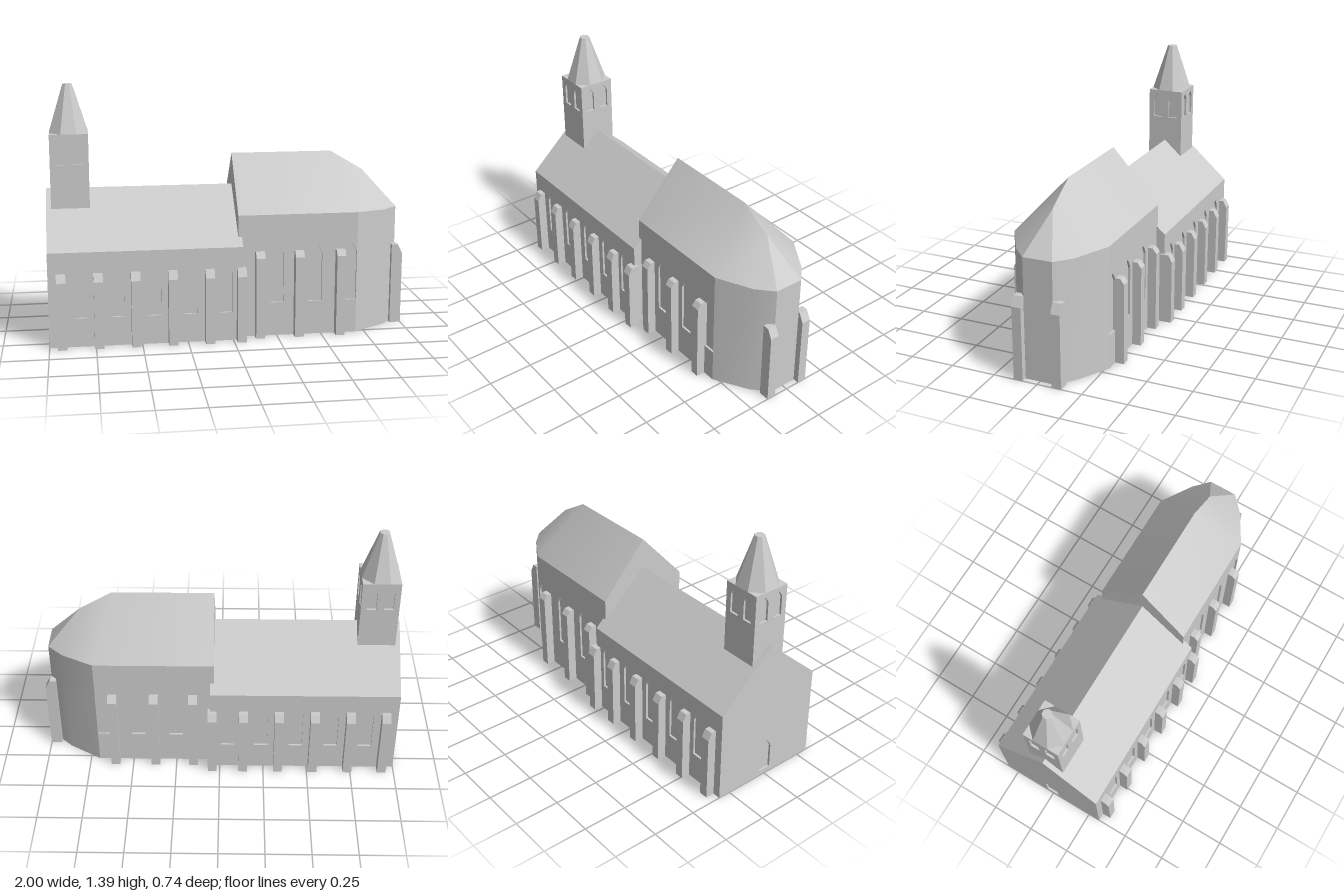
import * as THREE from 'three';
import { toCreasedNormals } from 'three/addons/utils/BufferGeometryUtils.js';

const stone = new THREE.MeshStandardMaterial({ color: 0xcccccc });
stone.name = 'pale stone';
const RECESS = 0.012; // depth of the window niches

function add(parent, name, geometry, x = 0, y = 0, z = 0, turn = 0) {
  const mesh = new THREE.Mesh(geometry, stone);
  mesh.name = name;
  mesh.position.set(x, y, z);
  mesh.rotation.y = turn;
  parent.add(mesh);
  return mesh;
}

// Box given by its limits
function block(parent, name, x0, x1, y0, y1, halfZ) {
  add(parent, name, new THREE.BoxGeometry(x1 - x0, y1 - y0, halfZ * 2), (x0 + x1) / 2, (y0 + y1) / 2, 0);
}

// Pointed-arch outline
function lancet(cx, width, sill, spring, tip) {
  const h = width / 2, midY = spring + (tip - spring) * 0.6;
  const p = new THREE.Path();
  p.moveTo(cx - h, sill);
  p.lineTo(cx + h, sill);
  p.lineTo(cx + h, spring);
  p.quadraticCurveTo(cx + h * 0.65, midY, cx, tip);
  p.quadraticCurveTo(cx - h * 0.65, midY, cx - h, spring);
  p.closePath();
  return p;
}

// Thin wall skin with pointed openings
function wallSkin(x0, x1, y0, y1, openings) {
  const s = new THREE.Shape([[x0, y0], [x1, y0], [x1, y1], [x0, y1]].map(p => new THREE.Vector2(...p)));
  s.holes.push(...openings);
  return new THREE.ExtrudeGeometry(s, { depth: RECESS, bevelEnabled: false, curveSegments: 4 });
}

// Buttress profile (outward, up), extruded to its width
function buttress(inner, outer, shoulder, top, slope, width) {
  const s = new THREE.Shape([[inner, 0], [outer, 0], [outer, shoulder], [outer - slope, top], [inner, top]]
    .map(p => new THREE.Vector2(...p)));
  return new THREE.ExtrudeGeometry(s, { depth: width, bevelEnabled: false }).translate(0, 0, -width / 2);
}

// Convex polygons fanned into triangles
function faceted(polygons) {
  const pos = [];
  for (const p of polygons)
    for (let i = 1; i < p.length - 1; i++) pos.push(...p[0], ...p[i], ...p[i + 1]);
  const g = new THREE.BufferGeometry();
  g.setAttribute('position', new THREE.Float32BufferAttribute(pos, 3));
  return toCreasedNormals(g, 0.6);
}

function buildNave() {
  const nave = new THREE.Group();
  nave.name = 'nave';
  const x0 = -1, x1 = 0.053, half = 0.32, eave = 0.525, ridge = 0.815;
  block(nave, 'naveCore', x0 + RECESS, x1, 0, eave, half - RECESS);

  const windows = [-0.825, -0.63, -0.43, -0.235, -0.045].map(x => lancet(x, 0.076, 0.16, 0.385, 0.44));
  const skin = wallSkin(x0, x1, 0, eave, windows);
  add(nave, 'naveFrontWall', skin, 0, 0, half - RECESS);
  add(nave, 'naveBackWall', skin, 0, 0, -half);

  // West wall with its door niche
  const west = wallSkin(-half, half, 0, eave, [lancet(0, 0.075, 0.03, 0.17, 0.225)]);
  add(nave, 'westWall', west, x0 + RECESS, 0, 0, -Math.PI / 2);

  const gable = new THREE.Shape([new THREE.Vector2(-half, eave), new THREE.Vector2(half, eave), new THREE.Vector2(0, ridge)]);
  const roof = new THREE.ExtrudeGeometry(gable, { depth: x1 - x0, bevelEnabled: false });
  add(nave, 'naveRoof', roof, x0, 0, 0, Math.PI / 2);

  const pier = buttress(0.3, 0.37, 0.37, 0.41, 0.022, 0.05);
  for (const x of [-0.93, -0.733, -0.533, -0.333, -0.132, 0.043])
    for (const side of [1, -1]) add(nave, 'naveButtress', pier, x, 0, 0, -side * Math.PI / 2);
  return nave;
}

function buildChoir() {
  const choir = new THREE.Group();
  choir.name = 'choir';
  const x0 = 0.033, x1 = 0.7, half = 0.27, eave = 0.688;
  block(choir, 'choirCore', x0, x1, 0, eave, half - RECESS);

  const windows = [0.25, 0.465, 0.66].map(x => lancet(x, 0.076, 0.19, 0.465, 0.525));
  const skin = wallSkin(x0, x1, 0, eave, windows);
  add(choir, 'choirFrontWall', skin, 0, 0, half - RECESS);
  add(choir, 'choirBackWall', skin, 0, 0, -half);

  // Apse plan, from the front corner round to the back corner
  const side = [[x1, eave, half], [0.88, 0.675, 0.163], [0.967, 0.675, 0.082]];
  const top = [...side, ...side.map(([x, y, z]) => [x, y, -z]).reverse()];
  const base = top.map(([x, , z]) => [x, 0, z]);
  const walls = [[...base].reverse()];
  for (let i = 0; i < 5; i++) walls.push([base[i], base[i + 1], top[i + 1], top[i]]);
  add(choir, 'apseWall', faceted(walls));

  // Gabled roof with a hipped, faceted end
  const r0 = [x0, 0.99, 0], r1 = [0.6, 0.99, 0], r2 = [0.785, 0.88, 0];
  const wf = [x0, eave, half], wb = [x0, eave, -half];
  const roof = [[wb, wf, r0], [wf, top[0], r1, r0], [top[5], wb, r0, r1], [top[0], r2, r1], [top[5], r1, r2]];
  for (let i = 0; i < 5; i++) roof.push([top[i], top[i + 1], r2]);
  add(choir, 'choirRoof', faceted(roof));

  const pier = buttress(0.25, 0.32, 0.455, 0.485, 0.022, 0.05);
  for (const x of [0.152, 0.37, 0.602])
    for (const s of [1, -1]) add(choir, 'choirButtress', pier, x, 0, 0, -s * Math.PI / 2);
  const endPier = buttress(0.938, 1, 0.41, 0.463, 0.027, 0.052);
  for (const s of [1, -1]) add(choir, 'apseButtress', endPier, 0, 0, s * 0.109);
  return choir;
}

function buildTower() {
  const tower = new THREE.Group();
  tower.name = 'tower';
  tower.position.x = -0.868;
  const half = 0.105, foot = 0.6, top = 1.127;
  block(tower, 'towerCore', -half + RECESS, half - RECESS, foot, top, half - RECESS);

  const skin = wallSkin(-half, half, foot, top, [-0.047, 0.047].map(x => lancet(x, 0.053, 0.96, 1.065, 1.103)));
  skin.translate(0, 0, half - RECESS);
  for (let i = 0; i < 4; i++) add(tower, 'towerWall', skin, 0, 0, 0, i * Math.PI / 2);

  // Eight-sided spire with a blunt tip
  const k = 1 / Math.cos(Math.PI / 8), height = 1.39 - top;
  const spire = new THREE.CylinderGeometry(0.025 * k, half * k, height, 8).toNonIndexed();
  spire.computeVertexNormals();
  add(tower, 'spire', spire, 0, top + height / 2, 0, Math.PI / 8);
  return tower;
}

export function createModel() {
  const church = new THREE.Group();
  church.name = 'church';
  church.add(buildNave(), buildChoir(), buildTower());
  return church;
}
